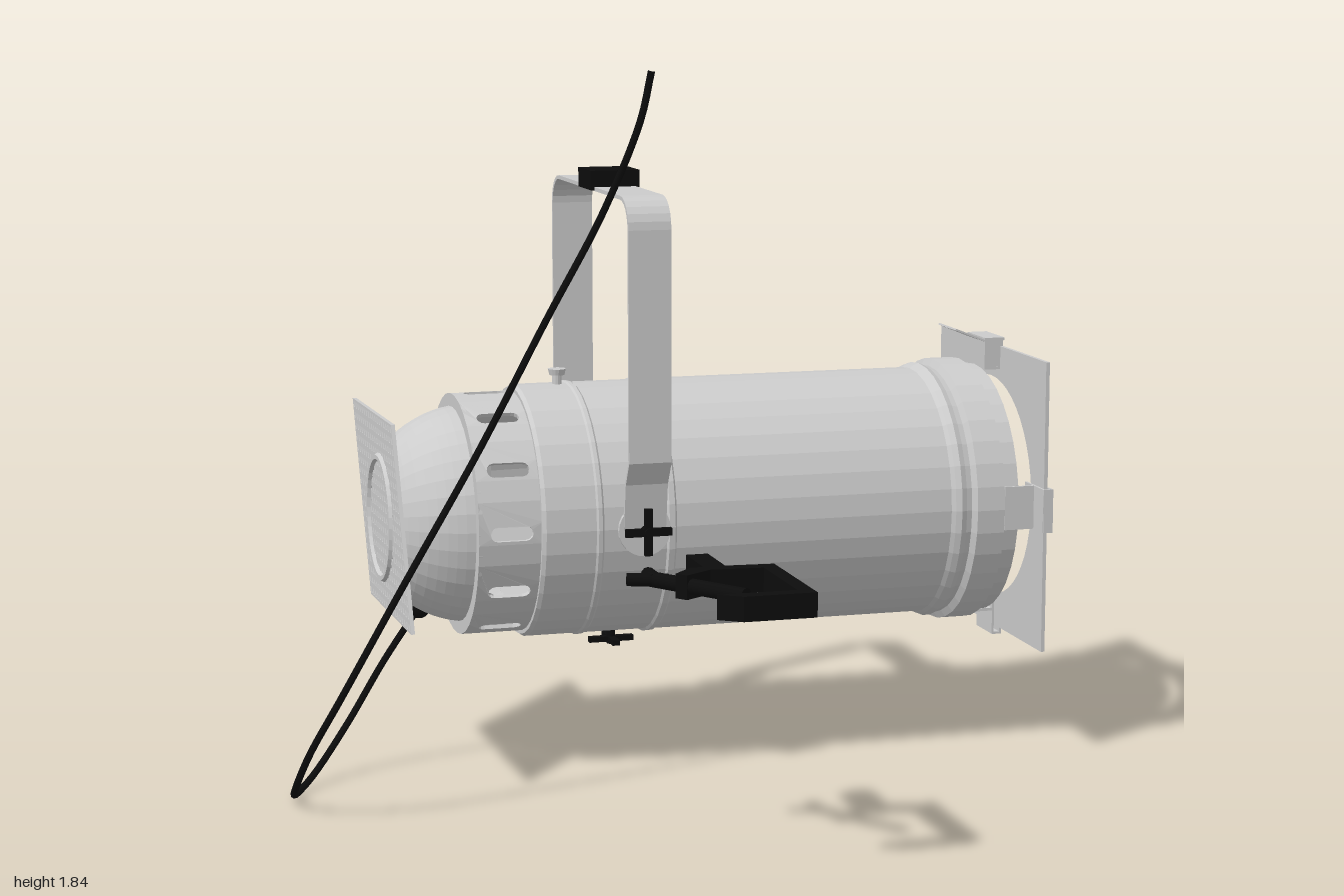
import * as THREE from 'three';

const SEG = 36, AXIS_Y = 0.68, AXIS_Z = -0.455;
const grey = new THREE.MeshStandardMaterial({ color: 0xcccccc, flatShading: true, side: THREE.DoubleSide });
const black = new THREE.MeshStandardMaterial({ color: 0x0c0c0c });

function add(parent, name, geometry, material = grey, x = 0, y = 0, z = 0) {
  const m = new THREE.Mesh(geometry, material);
  m.name = name;
  m.position.set(x, y, z);
  parent.add(m);
  return m;
}
const box = (w, h, d) => new THREE.BoxGeometry(w, h, d);
const vec = (pts) => pts.map(([a, b]) => new THREE.Vector2(a, b));

// Revolves [x, radius] pairs around the x axis
const lathe = (pts) =>
  new THREE.LatheGeometry(pts.map(([x, r]) => new THREE.Vector2(r, x)), SEG).rotateZ(-Math.PI / 2);

// Extrudes a shape drawn in (-z, y) along x, centred on x = 0
const slab = (shape, depth) =>
  new THREE.ExtrudeGeometry(shape, { depth, bevelEnabled: false, curveSegments: 24 })
    .translate(0, 0, -depth / 2).rotateY(Math.PI / 2);

function buildHousing(body) {
  // Rear dome, a sphere cut flat at the back
  const dome = [[-0.69, 0.0001]];
  for (let i = 0; i <= 8; i++) {
    const x = -0.69 + (0.18 * i) / 8;
    dome.push([x, Math.sqrt(0.0801 - (x + 0.47) ** 2)]);
  }
  add(body, 'rearDome', lathe([...dome, [-0.51, 0.313], [-0.5, 0.313]]));

  // Vented band: twelve slotted panels bent round the axis
  const half = Math.PI / 12, band = new THREE.Group();
  band.name = 'ventBand';
  body.add(band);
  const outline = [];
  for (let i = 0; i <= 3; i++) outline.push([-half + (2 * half * i) / 3, -0.51]);
  for (let i = 3; i >= 0; i--) outline.push([-half + (2 * half * i) / 3, -0.345]);
  const slot = [];
  for (let i = 0; i < 14; i++) {
    const a = i < 7 ? (Math.PI * i) / 6 : (Math.PI * (i - 1)) / 6;
    slot.push([0.06 * Math.cos(a), (i < 7 ? -0.388 : -0.462) + 0.018 * Math.sin(a)]);
  }
  const panel = new THREE.Shape(vec(outline));
  panel.holes.push(new THREE.Path(vec(slot)));
  const geo = new THREE.ExtrudeGeometry(panel, { depth: 0.01, bevelEnabled: false });
  const p = geo.attributes.position;
  for (let i = 0; i < p.count; i++) {
    const a = p.getX(i), r = 0.304 + p.getZ(i);
    p.setXYZ(i, p.getY(i), r * Math.cos(a), r * Math.sin(a));
  }
  geo.computeVertexNormals();
  for (let i = 0; i < 12; i++) add(band, 'ventPanel', geo).rotation.x = (i * Math.PI) / 6;

  // Main barrel with beads, front collar and inner wall
  add(body, 'barrel', lathe([
    [-0.35, 0.304], [-0.35, 0.324], [-0.34, 0.33], [-0.21, 0.33], [-0.205, 0.334], [-0.195, 0.334],
    [-0.19, 0.33], [-0.025, 0.33], [-0.02, 0.336], [-0.005, 0.336], [0, 0.331], [0.745, 0.331],
    [0.755, 0.338], [0.77, 0.344], [0.785, 0.338], [0.8, 0.335], [0.81, 0.353], [0.885, 0.353],
    [0.89, 0.336], [0.93, 0.336], [0.93, 0.318], [0.8, 0.318], [0.77, 0.33], [0.75, 0.32],
    [0, 0.32], [-0.35, 0.304],
  ]));

  // Lamp on the axis, and the small screw on top
  add(body, 'lamp', new THREE.CapsuleGeometry(0.038, 0.3, 6, 16).rotateZ(Math.PI / 2), grey, -0.51);
  add(body, 'topScrewStem', new THREE.CylinderGeometry(0.013, 0.013, 0.03, 12), grey, -0.232, 0.337);
  add(body, 'topScrewHead', new THREE.CylinderGeometry(0.024, 0.02, 0.016, 16), grey, -0.232, 0.361);
}

function buildRearScreen(body) {
  // Slanted perforated plate, with the ring that holds it
  const at = (s, t) => [-(0.56 * s + 0.23 * t), 0.015 + 0.015 * s - 0.49 * t];
  const quad = (s, t, h) => vec([at(s - h, t - h), at(s + h, t - h), at(s + h, t + h), at(s - h, t + h)]);
  const screen = new THREE.Shape(quad(0, 0, 0.5));
  const n = 18;
  for (let i = 0; i < n; i++)
    for (let j = 0; j < n; j++)
      screen.holes.push(new THREE.Path(quad((i + 0.5) / n - 0.5, (j + 0.5) / n - 0.5, 0.27 / n)));
  add(body, 'rearScreen', slab(screen, 0.01), grey, -0.697);
  add(body, 'rearRing', new THREE.TorusGeometry(0.157, 0.011, 6, SEG).rotateY(Math.PI / 2), grey, -0.701);
}

function buildFrontFrame(body) {
  // Square filter frame with a round opening
  const frame = new THREE.Shape(vec([[-0.385, -0.38], [0.385, -0.38], [0.385, 0.39], [-0.385, 0.39]]));
  frame.holes.push(new THREE.Path().absarc(0, 0.003, 0.3, 0, Math.PI * 2, true));
  add(body, 'filterFrame', slab(frame, 0.01), grey, 0.985);

  // Three channel brackets: foot on the barrel, back leaf and rolled lip
  for (const turn of [1, 2, 3]) {
    const bracket = new THREE.Group();
    bracket.name = 'frameBracket';
    bracket.rotation.x = (turn * Math.PI) / 2;
    body.add(bracket);
    add(bracket, 'bracketFoot', box(0.085, 0.008, 0.115), grey, 0.933, 0.335);
    add(bracket, 'bracketLeaf', box(0.006, 0.125, 0.115), grey, 0.974, 0.34);
    add(bracket, 'bracketLip', box(0.006, 0.03, 0.115), grey, 0.996, 0.388);
    add(bracket, 'bracketFold', box(0.026, 0.006, 0.115), grey, 0.985, 0.402);
    for (const z of [-0.035, 0.035])
      add(bracket, 'bracketRivet', new THREE.SphereGeometry(0.008, 8, 6), grey, 0.975, 0.3, z);
  }

  // Top latch with its raised spring tongue
  add(body, 'topLatch', box(0.055, 0.008, 0.13), grey, 0.963, 0.41);
  add(body, 'latchBack', box(0.006, 0.085, 0.13), grey, 0.938, 0.371);
  add(body, 'latchFoot', box(0.05, 0.008, 0.13), grey, 0.96, 0.332);
  for (const z of [-0.062, 0.062]) add(body, 'latchCheek', box(0.05, 0.08, 0.005), grey, 0.962, 0.37, z);
  add(body, 'latchTongue', box(0.09, 0.005, 0.13), grey, 0.893, 0.423).rotation.z = -0.38;
}

function buildYoke(body) {
  // Bent strap: outer line out, inner line back
  const side = (t) => {
    const pts = [[0.352 - t, 0], [0.37 - t, 0.12], [0.405 - t, 0.18]];
    for (let i = 0; i <= 6; i++) {
      const a = (i * Math.PI) / 12;
      pts.push([0.325 + (0.08 - t) * Math.cos(a), 0.765 + (0.08 - t) * Math.sin(a)]);
    }
    return [...pts, ...pts.map(([x, y]) => [-x, y]).reverse()];
  };
  add(body, 'yoke', slab(new THREE.Shape(vec([...side(0), ...side(0.01).reverse()])), 0.11), grey, -0.09);
  for (const z of [-0.12, 0, 0.17, -0.165])
    add(body, 'yokeRivet', new THREE.CylinderGeometry(0.024, 0.024, 0.012, 12), grey, -0.09, 0.831, z);
  add(body, 'yokePad', box(0.13, 0.05, 0.13), black, -0.09, 0.862);

  // Cross knobs at both pivots and below the barrel
  const addKnob = (angle, r) => {
    const knob = new THREE.Group();
    knob.name = 'crossKnob';
    knob.rotation.x = angle;
    body.add(knob);
    add(knob, 'knobStem', new THREE.CylinderGeometry(0.012, 0.012, 0.05, 12), black, -0.09, r - 0.012);
    for (const turn of [0, Math.PI / 2])
      add(knob, 'knobArm', box(0.12, 0.014, 0.02), black, -0.09, r).rotation.y = turn;
  };
  for (const s of [-1, 1]) {
    add(body, 'yokeEnd', new THREE.CylinderGeometry(0.068, 0.068, 0.012, 24).rotateX(Math.PI / 2),
      grey, -0.09, 0, s * 0.346);
    addKnob((s * Math.PI) / 2, 0.385);
  }
  addKnob(Math.PI, 0.36);
}

function buildClamp(root) {
  const clamp = new THREE.Group();
  clamp.name = 'hookClamp';
  clamp.position.y = AXIS_Y + 0.003;
  root.add(clamp);
  // Hook outline drawn in (x, z) and extruded upward
  const hook = new THREE.Shape(vec([
    [-0.2, 0.57], [-0.15, 0.515], [-0.118, 0.515], [-0.118, 0.37], [-0.064, 0.37], [-0.064, 0.515],
    [0.053, 0.525], [0.053, 0.85], [-0.12, 0.85], [-0.172, 0.812], [0.016, 0.812], [0.016, 0.562],
    [-0.11, 0.55], [-0.18, 0.597],
  ].map(([x, z]) => [x, -z])));
  add(clamp, 'hook', new THREE.ExtrudeGeometry(hook, { depth: 0.058, bevelEnabled: false })
    .translate(0, 0, -0.029).rotateX(-Math.PI / 2), black);
  // Tightening screw with its wing handle
  const rod = (name, x1, z1, x2, z2, r) => {
    const geo = new THREE.CylinderGeometry(r, r, Math.hypot(x2 - x1, z2 - z1), 12).rotateX(Math.PI / 2);
    add(clamp, name, geo, black, (x1 + x2) / 2, 0, (z1 + z2) / 2).rotation.y = Math.atan2(x2 - x1, z2 - z1);
  };
  rod('clampScrew', -0.235, 0.48, -0.075, 0.72, 0.019);
  rod('wingHandle', -0.29, 0.47, -0.2, 0.505, 0.016);
  rod('wingHandle', -0.228, 0.43, -0.228, 0.5, 0.018);
}

function buildCable(root) {
  const path = [
    [-0.61, 0.43, -0.455], [-0.7, 0.3, -0.455], [-0.8, 0.15, -0.43], [-0.905, 0.045, -0.337],
    [-0.965, 0.02, -0.25], [-0.988, 0.07, -0.12], [-0.965, 0.19, -0.01], [-0.9, 0.337, 0.06],
    [-0.74, 0.62, 0.075], [-0.55, 0.94, 0.07], [-0.39, 1.246, 0.09], [-0.257, 1.51, 0.135],
    [-0.176, 1.73, 0.18], [-0.155, 1.85, 0.205],
  ].map((q) => new THREE.Vector3(...q));
  add(root, 'cable', new THREE.TubeGeometry(new THREE.CatmullRomCurve3(path), 90, 0.009, 8), black);
  add(root, 'cableGland', new THREE.SphereGeometry(0.028, 14, 10), black, -0.605, 0.435, AXIS_Z);
}

export function createModel() {
  const root = new THREE.Group();
  root.name = 'stageLight';
  const body = new THREE.Group();
  body.name = 'lightBody';
  body.position.set(0, AXIS_Y, AXIS_Z);
  root.add(body);
  buildHousing(body);
  buildRearScreen(body);
  buildFrontFrame(body);
  buildYoke(body);
  buildClamp(root);
  buildCable(root);
  return root;
}
